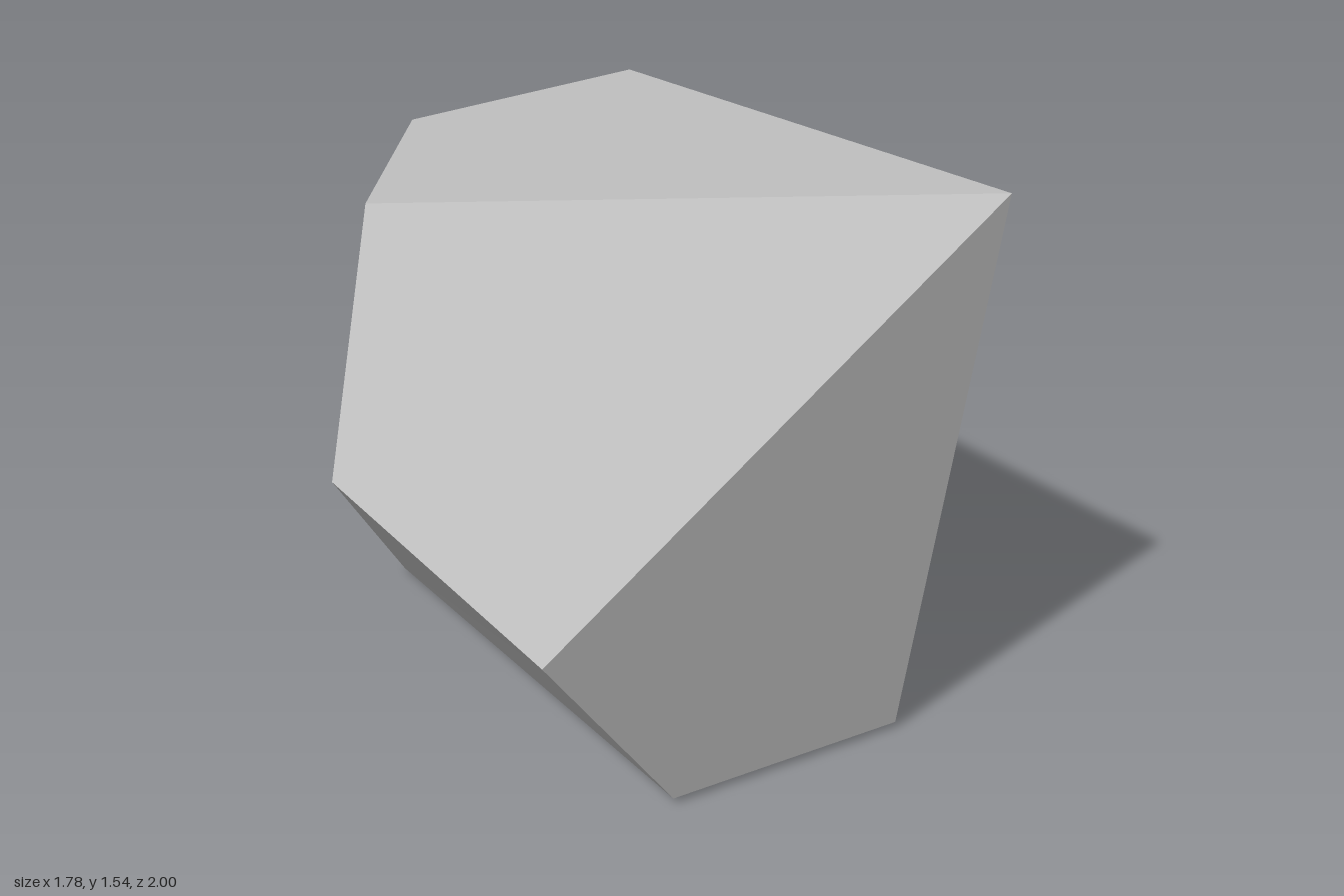
import * as THREE from 'three';

// Ten-sided solid: two poles joined by a zigzag ring, with kite-shaped faces.
export function createModel() {
  const group = new THREE.Group();
  group.name = 'tenSidedDie';

  const topPole = [0.887, 1.54, -0.197];
  const bottomPole = [-0.892, 0.003, 0.18];

  // Ring corners in order; even ones join the bottom pole, odd ones the top pole.
  const ring = [
    [-0.785, 1.408, 0.155], [-0.36, 1.433, 0.677],
    [-0.153, 0.88, 0.997], [0.432, 0.566, 0.89],
    [0.48, 0.025, 0.5], [0.675, 0.025, -0.142],
    [0.237, 0.023, -0.652], [0.033, 0.56, -1.0],
    [-0.545, 0.877, -0.865], [-0.608, 1.431, -0.492],
  ];

  // One kite per ring corner, each split into two triangles.
  const positions = [];
  const n = ring.length;
  ring.forEach((mid, i) => {
    const prev = ring[(i + n - 1) % n];
    const next = ring[(i + 1) % n];
    const [pole, a, b] = i % 2 === 0 ? [topPole, prev, next] : [bottomPole, next, prev];
    positions.push(...pole, ...a, ...mid, ...pole, ...mid, ...b);
  });

  const geometry = new THREE.BufferGeometry();
  geometry.setAttribute('position', new THREE.Float32BufferAttribute(positions, 3));
  geometry.computeVertexNormals();

  const grey = new THREE.MeshStandardMaterial({ color: 0xc0c0c0 });
  grey.name = 'light grey';
  grey.flatShading = true;

  const body = new THREE.Mesh(geometry, grey);
  body.name = 'dieBody';
  group.add(body);
  return group;
}
